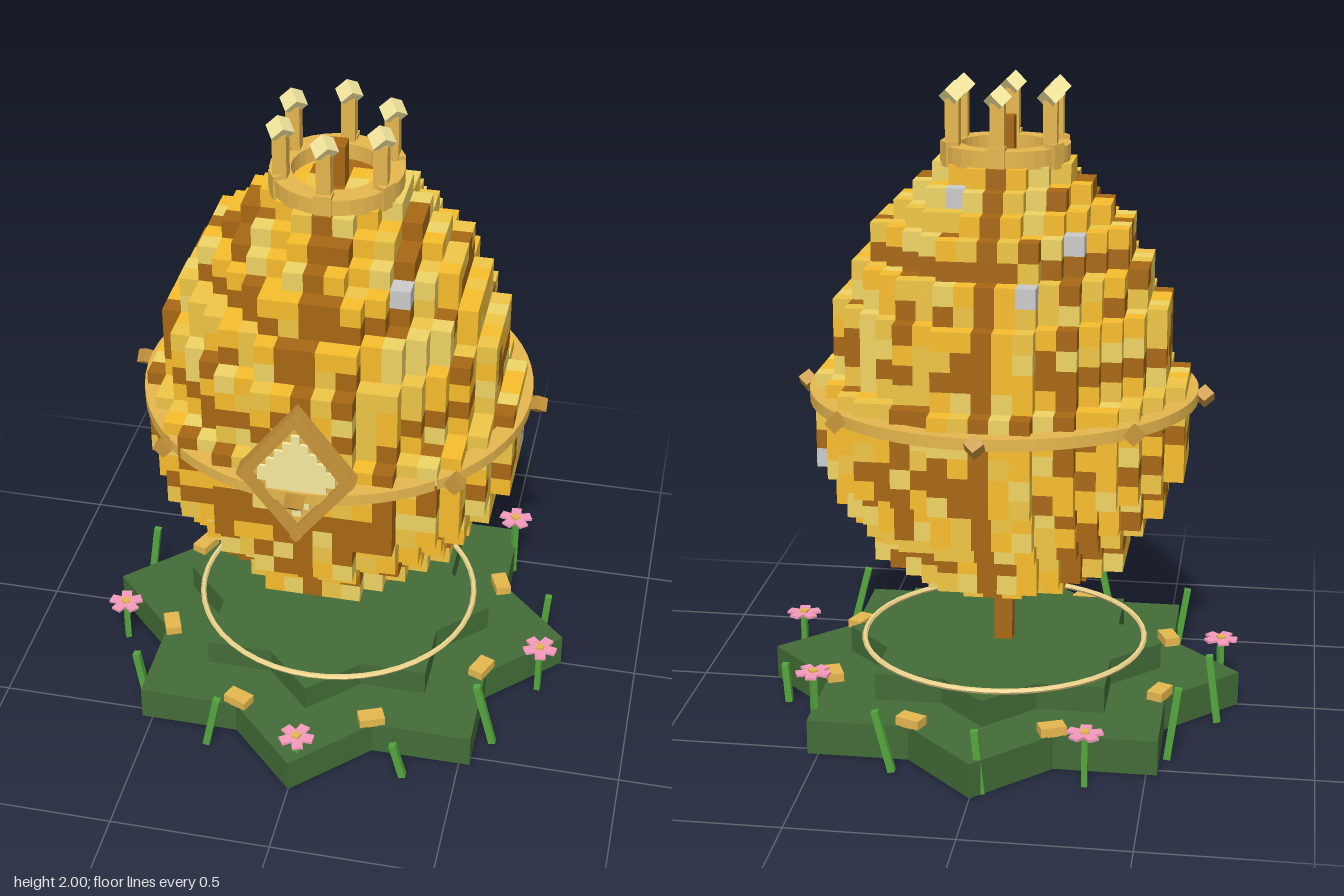
import * as THREE from 'three';
import { mergeGeometries } from 'three/addons/utils/BufferGeometryUtils.js';

const CELL = 0.06, EGG_BASE = 0.43;
// half-width of each egg layer in cells, bottom to top
const LAYERS = [4, 6, 6, 7, 8, 8, 9, 9, 9, 9, 9, 8, 8, 8, 8, 7, 7, 6, 6, 5, 4, 3];
const COLORS = { brown: 0xa86814, gold: 0xf8bd2d, straw: 0xf0c646, pale: 0xf0d464, silver: 0xc8c8ca };
const TRIM = 0xe6b74e, DARK_TRIM = 0xc8963c, GEM = 0xf8eaa0, GREEN = 0x426c37, BLADE = 0x54a53d;

const mat = (color) => new THREE.MeshStandardMaterial({ color, flatShading: true });

function add(parent, name, geo, color, pos = [0, 0, 0], rot = [0, 0, 0]) {
  const m = new THREE.Mesh(geo, mat(color));
  m.name = name;
  m.position.set(...pos);
  m.rotation.set(...rot);
  parent.add(m);
  return m;
}

const box = (w, h, d) => new THREE.BoxGeometry(w, h, d);

// flat ring with a rectangular section
function ringGeometry(inner, outer, y0, y1, segments = 64) {
  const p = [[inner, y0], [outer, y0], [outer, y1], [inner, y1], [inner, y0]];
  return new THREE.LatheGeometry(p.map(([x, y]) => new THREE.Vector2(x, y)), segments);
}

function diamond(w, h, Type = THREE.Shape) {
  const s = new Type();
  s.moveTo(w, 0).lineTo(0, h).lineTo(-w, 0).lineTo(0, -h).closePath();
  return s;
}
const extrude = (shape, depth) => new THREE.ExtrudeGeometry(shape, { depth, bevelEnabled: false });

// eight-pointed star slab, lying flat
function starSlab(tip, height) {
  const star = new THREE.Shape();
  for (let n = 0; n < 16; n++) {
    const r = n % 2 ? tip * 0.765 : tip, a = n * Math.PI / 8;
    star[n ? 'lineTo' : 'moveTo'](Math.cos(a) * r, Math.sin(a) * r);
  }
  star.closePath();
  return extrude(star, height).rotateX(-Math.PI / 2);
}

function seeded(seed) {
  return () => {
    seed = (seed * 1664525 + 1013904223) >>> 0;
    return seed / 4294967296;
  };
}

// hollow shell of coloured blocks
function buildEgg() {
  const egg = new THREE.Group();
  egg.name = 'egg';
  const rnd = seeded(7);
  const inside = (i, j, k) => j >= 0 && j < LAYERS.length && k <= 8 && i * i + k * k <= (LAYERS[j] + 0.35) ** 2;
  const silverColumns = ['-2,-7', '-4,-4', '2,-3', '4,4'];
  const parts = {};
  for (let j = 0; j < LAYERS.length; j++)
    for (let i = -9; i <= 9; i++)
      for (let k = -9; k <= 9; k++) {
        if (!inside(i, j, k)) continue;
        const hidden = inside(i + 1, j, k) && inside(i - 1, j, k) && inside(i, j + 1, k) &&
          inside(i, j - 1, k) && inside(i, j, k + 1) && inside(i, j, k - 1);
        if (hidden) continue;
        const a = rnd(), b = rnd();
        const banded = Math.abs(i) === 4 || [2, 7, 12, 17].includes(j);
        let key = b < 0.4 ? 'gold' : b < 0.72 ? 'straw' : 'pale';
        if (i === 0 || a < (banded ? 0.65 : 0.13)) key = 'brown';
        const topCell = j > 11 && !inside(i, j + 1, k);
        if ((topCell && silverColumns.includes(`${i},${k}`)) || (i > 5 && j === 6 && k === -2)) key = 'silver';
        const g = box(CELL, CELL, CELL).translate(i * CELL, EGG_BASE + (j + 0.5) * CELL, k * CELL);
        (parts[key] ??= []).push(g);
      }
  for (const key in parts) add(egg, `${key}Blocks`, mergeGeometries(parts[key]), COLORS[key]);
  return egg;
}

function buildCrown() {
  const crown = new THREE.Group();
  crown.name = 'crown';
  add(crown, 'crownBand', ringGeometry(0.135, 0.198, 1.745, 1.8, 32), TRIM);
  for (let n = 0; n < 6; n++) {
    const a = n * Math.PI / 3, s = Math.sin(a), c = Math.cos(a);
    add(crown, 'crownBlock', box(0.05, 0.075, 0.04), TRIM, [s * 0.182, 1.775, c * 0.182], [0, a, 0]);
    add(crown, 'crownPost', box(0.042, 0.2, 0.042), TRIM, [s * 0.17, 1.84, c * 0.17]);
    add(crown, 'crownGem', box(0.05, 0.05, 0.05), GEM, [s * 0.17, 1.952, c * 0.17], [Math.PI / 4, 0, Math.PI / 4])
      .rotation.order = 'ZYX';
  }
  return crown;
}

function buildBelt() {
  const belt = new THREE.Group();
  belt.name = 'belt';
  belt.position.set(0, 1.03, -0.015);
  add(belt, 'beltRing', ringGeometry(0.545, 0.603, -0.018, 0.018), TRIM);
  for (let n = 0; n < 8; n++) {
    const a = n * Math.PI / 4;
    add(belt, 'beltStud', box(0.042, 0.042, 0.042), DARK_TRIM, [Math.sin(a) * 0.622, 0, Math.cos(a) * 0.622],
      [n % 2 ? 0 : Math.PI / 4, 0, Math.PI / 4]);
  }
  return belt;
}

// framed diamond on the front of the egg
function buildMedallion() {
  const med = new THREE.Group();
  med.name = 'medallion';
  med.position.set(0, 1.1, 0.54);
  const frame = diamond(0.175, 0.232);
  frame.holes.push(diamond(0.133, 0.178, THREE.Path));
  add(med, 'medallionFrame', extrude(frame, 0.05), DARK_TRIM);
  add(med, 'medallionBacking', extrude(diamond(0.145, 0.19), 0.03), TRIM);
  for (let n = -4; n <= 4; n++) {
    const h = 0.29 - Math.abs(n) * 0.06;
    add(med, 'medallionInlay', box(0.0255, h, 0.02), GEM, [n * 0.0255, 0, 0.03]);
  }
  for (const [x, y] of [[0.155, 0], [-0.155, 0], [0, 0.208], [0, -0.208]])
    add(med, 'medallionStud', box(0.026, 0.026, 0.03), DARK_TRIM, [x, y, 0.045], [0, 0, Math.PI / 4]);
  return med;
}

function buildFlower(x, z, y, turn) {
  const flower = new THREE.Group();
  flower.name = 'flower';
  flower.position.set(x, 0, z);
  flower.rotation.y = turn;
  add(flower, 'flowerStem', box(0.018, y, 0.018), BLADE, [0, y / 2, 0]);
  for (let n = 0; n < 5; n++) {
    const a = n * Math.PI * 0.4;
    add(flower, 'petal', box(0.034, 0.008, 0.042), 0xf59abb, [Math.sin(a) * 0.032, y, Math.cos(a) * 0.032], [0, a, 0]);
  }
  add(flower, 'flowerCentre', box(0.024, 0.014, 0.024), TRIM, [0, y + 0.003, 0]);
  return flower;
}

function buildBase() {
  const base = new THREE.Group();
  base.name = 'base';
  add(base, 'plinth', starSlab(0.755, 0.11), GREEN);
  add(base, 'mound', starSlab(0.505, 0.085), GREEN, [0, 0.11, 0]);
  add(base, 'moundRing', new THREE.TorusGeometry(0.45, 0.009, 6, 48), 0xf0d48c, [0, 0.203, 0], [Math.PI / 2, 0, 0]);
  // blocks at the inner corners of the star
  for (let n = 0; n < 8; n++) {
    const a = (n + 0.5) * Math.PI / 4;
    add(base, 'cornerBlock', box(0.08, 0.03, 0.05), TRIM, [Math.sin(a) * 0.56, 0.123, Math.cos(a) * 0.56], [0, a, 0]);
  }
  // grass: x, z, height, sideways lean
  const blades = [[0.28, -0.62, 0.2, 0.05], [-0.57, -0.42, 0.235, -0.03], [-0.68, -0.14, 0.225, 0.03],
    [0.68, -0.175, 0.13, 0.01], [0.56, 0.42, 0.235, -0.06], [0.32, 0.625, 0.13, -0.035],
    [-0.28, 0.61, 0.195, 0.04], [-0.55, 0.46, 0.2, -0.03], [-0.02, -0.715, 0.2, 0.02]];
  for (const [x, z, h, lean] of blades)
    add(base, 'grassBlade', box(0.022, h, 0.022), BLADE, [x, h / 2, z], [0, 0, -Math.atan2(lean, h)]);
  const flowers = [[-0.325, -0.63, 0.17], [0.53, -0.445, 0.23], [0.695, 0.14, 0.175], [-0.69, 0.17, 0.15], [0.015, 0.695, 0.17]];
  flowers.forEach(([x, z, y], n) => base.add(buildFlower(x, z, y, n * 0.7)));
  return base;
}

export function createModel() {
  const model = new THREE.Group();
  model.name = 'ornamentalEgg';
  // everything above the base leans very slightly forward
  const upper = new THREE.Group();
  upper.name = 'upperBody';
  upper.rotation.x = 0.015;
  upper.position.z = -0.007;
  add(upper, 'stem', box(0.058, 1.69, 0.058), COLORS.brown, [0, 1.035, 0]);
  upper.add(buildEgg(), buildCrown(), buildBelt(), buildMedallion());
  model.add(buildBase(), upper);
  return model;
}
